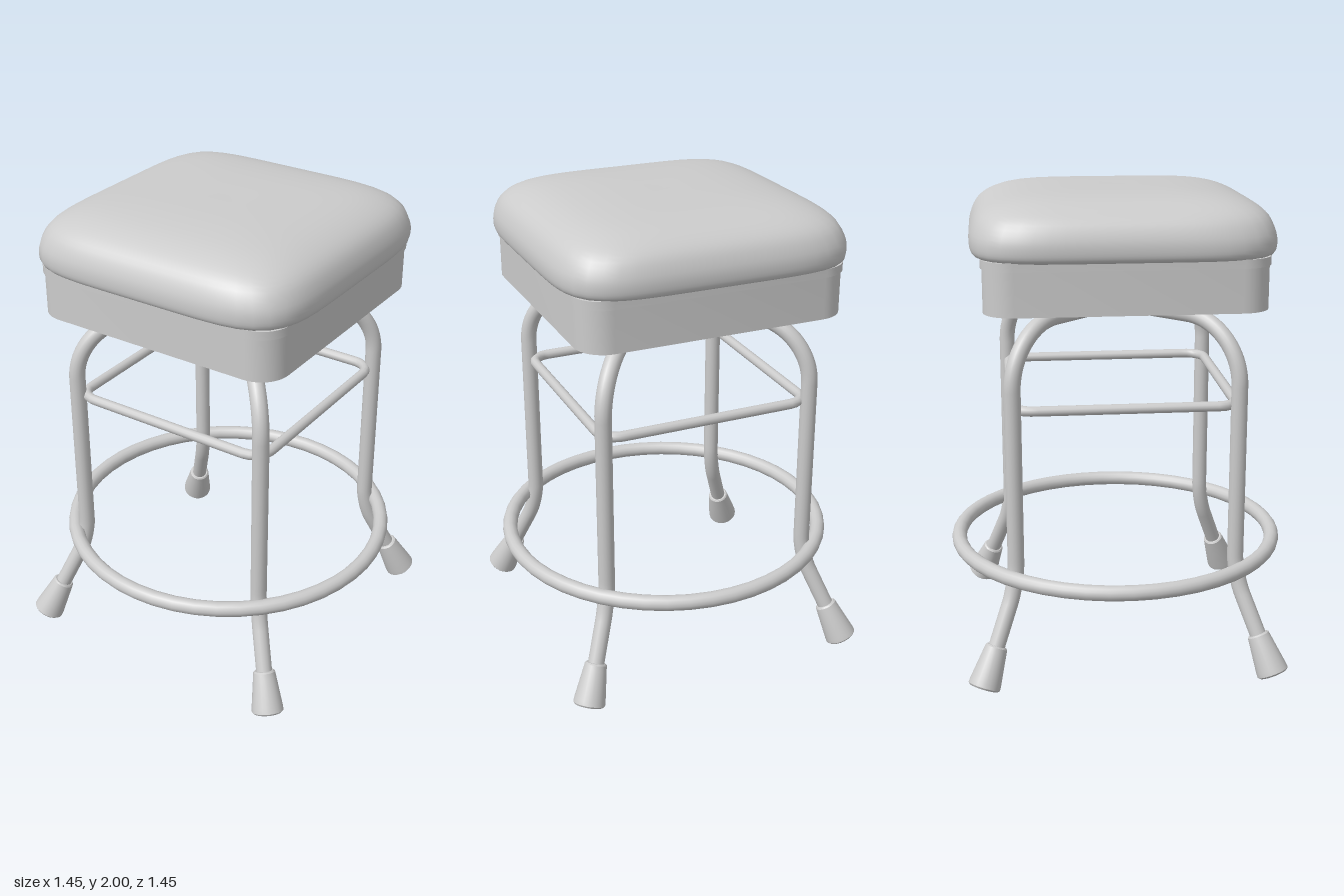
import * as THREE from 'three';
import { mergeVertices, toCreasedNormals } from 'three/addons/utils/BufferGeometryUtils.js';

const material = new THREE.MeshStandardMaterial({ color: 0xcccccc, side: THREE.DoubleSide });
const V = (x, y, z = 0) => new THREE.Vector3(x, y, z);

function add(parent, name, geometry, x = 0, y = 0, z = 0) {
  const mesh = new THREE.Mesh(geometry, material);
  mesh.name = name;
  mesh.position.set(x, y, z);
  parent.add(mesh);
  return mesh;
}

// Polyline with its corners rounded; cut[i] is the trim length at corner i
function roundedPath(points, cuts, closed = false) {
  const path = new THREE.CurvePath();
  const n = points.length;
  const toward = (a, b, d) => a.clone().add(b.clone().sub(a).setLength(d));
  let from = closed ? toward(points[0], points[n - 1], cuts[0]) : points[0];
  for (let i = closed ? 0 : 1; i < (closed ? n : n - 1); i++) {
    const p = points[i], next = points[(i + 1) % n];
    const a = toward(p, points[(i + n - 1) % n], cuts[i]);
    const b = toward(p, next, cuts[i]);
    if (from.distanceTo(a) > 1e-4) path.add(new THREE.LineCurve3(from, a));
    // 0.55 gives a nearly circular quarter bend
    path.add(new THREE.CubicBezierCurve3(a, a.clone().lerp(p, 0.55), b.clone().lerp(p, 0.55), b));
    from = b;
  }
  path.add(new THREE.LineCurve3(from, closed ? toward(points[0], points[n - 1], cuts[0]) : points[n - 1]));
  return path;
}

// Padded cushion: a turned profile pushed out to a soft square plan
function cushionGeometry() {
  const side = new THREE.SplineCurve([
    [0.575, 1.76], [0.6, 1.77], [0.609, 1.80], [0.604, 1.85], [0.575, 1.91], [0.52, 1.951],
    [0.43, 1.98], [0.3, 1.995], [0.15, 2], [0, 2],
  ].map(([x, y]) => new THREE.Vector2(x, y)));
  const profile = [new THREE.Vector2(0, 1.76), ...side.getPoints(30)];
  profile[profile.length - 1].x = 0;
  let g = new THREE.LatheGeometry(profile, 80);
  const p = g.attributes.position;
  const n = 5.5;
  for (let i = 0; i < p.count; i++) {
    const x = p.getX(i), z = p.getZ(i), r = Math.hypot(x, z);
    if (r < 1e-6) continue;
    const k = Math.pow(Math.abs(x / r) ** n + Math.abs(z / r) ** n, -1 / n);
    p.setXYZ(i, x * k, p.getY(i), z * k);
  }
  g.deleteAttribute('normal');
  g.deleteAttribute('uv');
  g = mergeVertices(g);
  return toCreasedNormals(g, 0.8);
}

// Upright slab with a rounded square plan, standing on y = 0
function slabGeometry(half, radius, height) {
  const s = new THREE.Shape();
  const c = half - radius;
  for (let i = 0; i < 4; i++) {
    const a = i * Math.PI / 2;
    const cx = c * Math.sign(Math.cos(a + Math.PI / 4));
    const cy = c * Math.sign(Math.sin(a + Math.PI / 4));
    s.absarc(cx, cy, radius, a, a + Math.PI / 2, false);
  }
  const g = new THREE.ExtrudeGeometry(s, { depth: height, bevelEnabled: false, curveSegments: 5 });
  g.rotateX(-Math.PI / 2);
  return toCreasedNormals(g, 0.5);
}

export function createModel() {
  const stool = new THREE.Group();
  stool.name = 'stool';

  // Seat
  const seat = new THREE.Group();
  seat.name = 'seat';
  stool.add(seat);
  add(seat, 'cushion', cushionGeometry());
  add(seat, 'seatBase', slabGeometry(0.56, 0.12, 0.175), 0, 1.555);
  add(seat, 'seatBaseRim', slabGeometry(0.566, 0.125, 0.035), 0, 1.73);

  // Swivel under the seat
  add(stool, 'swivelPlate', new THREE.CylinderGeometry(0.355, 0.355, 0.015, 48), 0, 1.547);
  for (const turn of [1, -1]) {
    const clamp = add(stool, 'swivelClamp', new THREE.BoxGeometry(0.38, 0.07, 0.08), 0, 1.505);
    clamp.rotation.y = turn * Math.PI / 4;
  }
  add(stool, 'swivelBolt', new THREE.CylinderGeometry(0.015, 0.015, 0.09, 12), 0, 1.5);

  // Four bent legs with rubber feet, set on the diagonals
  const reach = 0.643, footReach = 0.849, tilt = 0.48;
  const bendY = 0.03 + (footReach - reach) / Math.tan(tilt);
  const legPath = roundedPath(
    [V(0, 1.498), V(reach, 1.498), V(reach, bendY), V(footReach - 0.03, 0.03 + 0.03 / Math.tan(tilt))],
    [0, 0.26, 0.09, 0]);
  const legGeometry = new THREE.TubeGeometry(legPath, 90, 0.034, 16);
  const footGeometry = toCreasedNormals(new THREE.LatheGeometry([
    [0, 0], [0.06, 0], [0.067, 0.007], [0.066, 0.025], [0.049, 0.15], [0.046, 0.172], [0.04, 0.178], [0, 0.178],
  ].map(([x, y]) => new THREE.Vector2(x, y)), 24), 0.6);
  for (let i = 0; i < 4; i++) {
    const leg = new THREE.Group();
    leg.name = 'leg';
    leg.rotation.y = Math.PI / 4 + i * Math.PI / 2;
    add(leg, 'legTube', legGeometry);
    add(leg, 'foot', footGeometry, footReach, 0.031).rotation.z = tilt;
    stool.add(leg);
  }

  // Square brace between the legs
  const h = 0.452;
  const bracePath = roundedPath([V(h, 0, h), V(h, 0, -h), V(-h, 0, -h), V(-h, 0, h)],
    [0.08, 0.08, 0.08, 0.08], true);
  add(stool, 'brace', new THREE.TubeGeometry(bracePath, 120, 0.021, 12, true), 0, 1.155);

  // Round footrest
  add(stool, 'footrestRing', new THREE.TorusGeometry(0.692, 0.032, 14, 48), 0, 0.465).rotation.x = Math.PI / 2;

  return stool;
}
